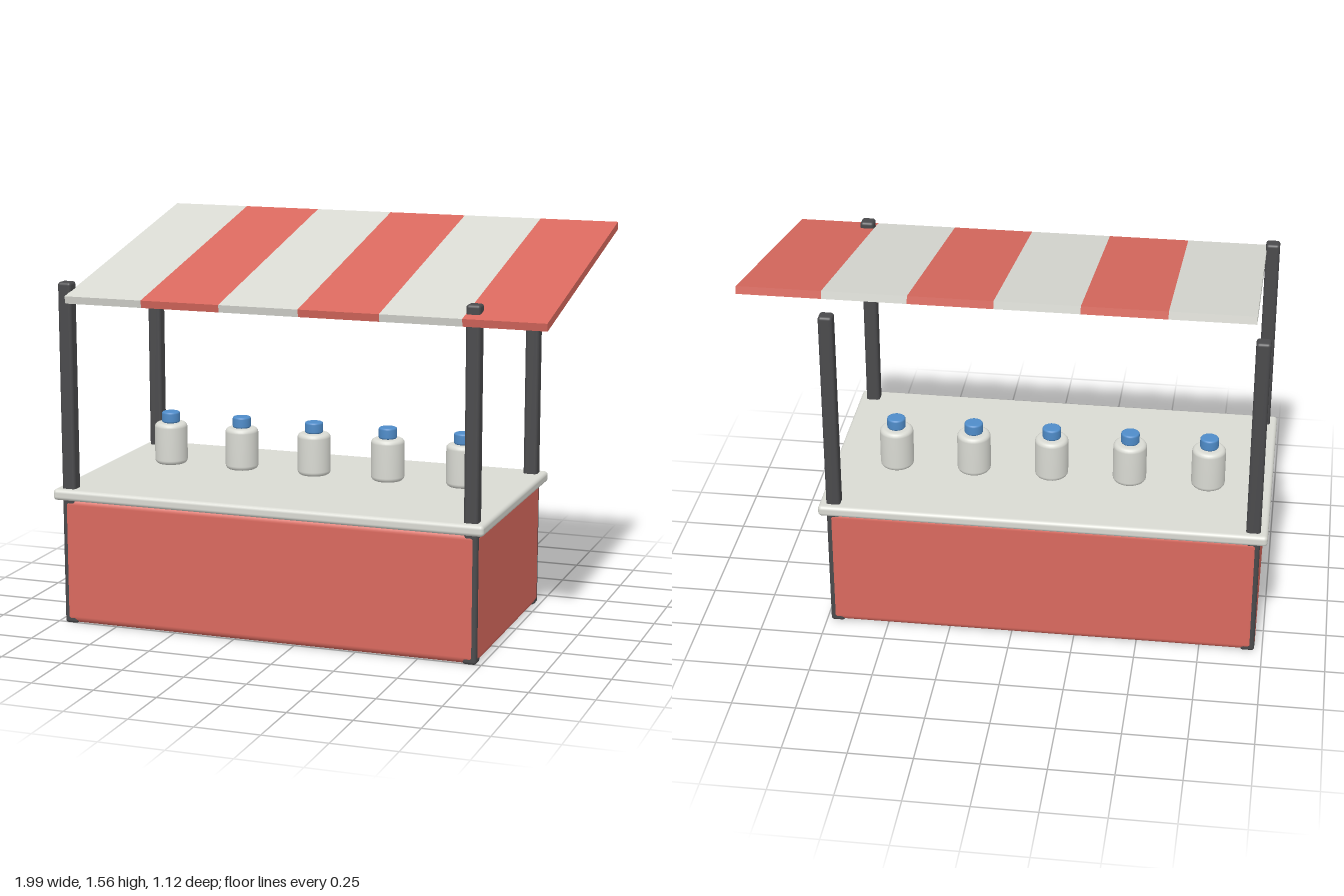
import * as THREE from 'three';
import { RoundedBoxGeometry } from 'three/addons/geometries/RoundedBoxGeometry.js';

const material = (name, color) => {
  const m = new THREE.MeshStandardMaterial({ color });
  m.name = name;
  return m;
};

export function createModel() {
  const red = material('red', 0xd9695e);
  const white = material('offWhite', 0xd9dad3);
  const dark = material('darkMetal', 0x4a4a4c);
  const blue = material('blue', 0x4f8cc9);

  const stall = new THREE.Group();
  stall.name = 'marketStall';

  const add = (parent, name, geometry, mat, x, y, z) => {
    const mesh = new THREE.Mesh(geometry, mat);
    mesh.name = name;
    mesh.position.set(x, y, z);
    parent.add(mesh);
    return mesh;
  };

  // Counter, set off-centre beneath the awning
  const cx = -0.118, cz = 0.057;
  add(stall, 'counterBody', new RoundedBoxGeometry(1.704, 0.51, 0.912, 4, 0.027), red, cx, 0.256, cz);
  add(stall, 'counterTop', new RoundedBoxGeometry(1.76, 0.044, 0.964, 4, 0.015), white, cx, 0.527, cz);

  // Four corner posts
  const postGeometry = new RoundedBoxGeometry(0.056, 1.37, 0.056, 3, 0.012);
  for (const sx of [-1, 1]) {
    for (const sz of [-1, 1]) {
      add(stall, 'post', postGeometry, dark, cx + sx * 0.823, 0.685, cz + sz * 0.427);
    }
  }

  // Sloping awning of alternating stripes
  const awning = new THREE.Group();
  awning.name = 'awning';
  awning.position.set(0.04, 1.4275, 0);
  awning.rotation.x = 0.21;
  stall.add(awning);
  const stripeWidth = 0.3187;
  const stripeGeometry = new THREE.BoxGeometry(stripeWidth, 0.03, 1.134);
  for (let i = 0; i < 6; i++) {
    add(awning, 'awningStripe', stripeGeometry, i % 2 ? red : white, (i - 2.5) * stripeWidth, 0, 0);
  }

  // Lathe profile of a cylinder with rounded rims
  const roundedCylinder = (radius, height, bevel) => {
    const points = [new THREE.Vector2(0, 0)];
    for (const [y, start] of [[bevel, -Math.PI / 2], [height - bevel, 0]]) {
      for (let i = 0; i <= 4; i++) {
        const a = start + (i / 4) * Math.PI / 2;
        points.push(new THREE.Vector2(radius - bevel + bevel * Math.cos(a), y + bevel * Math.sin(a)));
      }
    }
    points.push(new THREE.Vector2(0, height));
    return new THREE.LatheGeometry(points, 32);
  };

  // Row of jars with caps
  const jarGeometry = roundedCylinder(0.067, 0.171, 0.018);
  const capGeometry = roundedCylinder(0.037, 0.046, 0.008);
  for (let i = 0; i < 5; i++) {
    const jar = new THREE.Group();
    jar.name = 'jar';
    jar.position.set(cx + (i - 2) * 0.313, 0.549, -0.055);
    add(jar, 'jarBody', jarGeometry, white, 0, 0, 0);
    add(jar, 'jarCap', capGeometry, blue, 0, 0.17, 0);
    stall.add(jar);
  }

  return stall;
}
